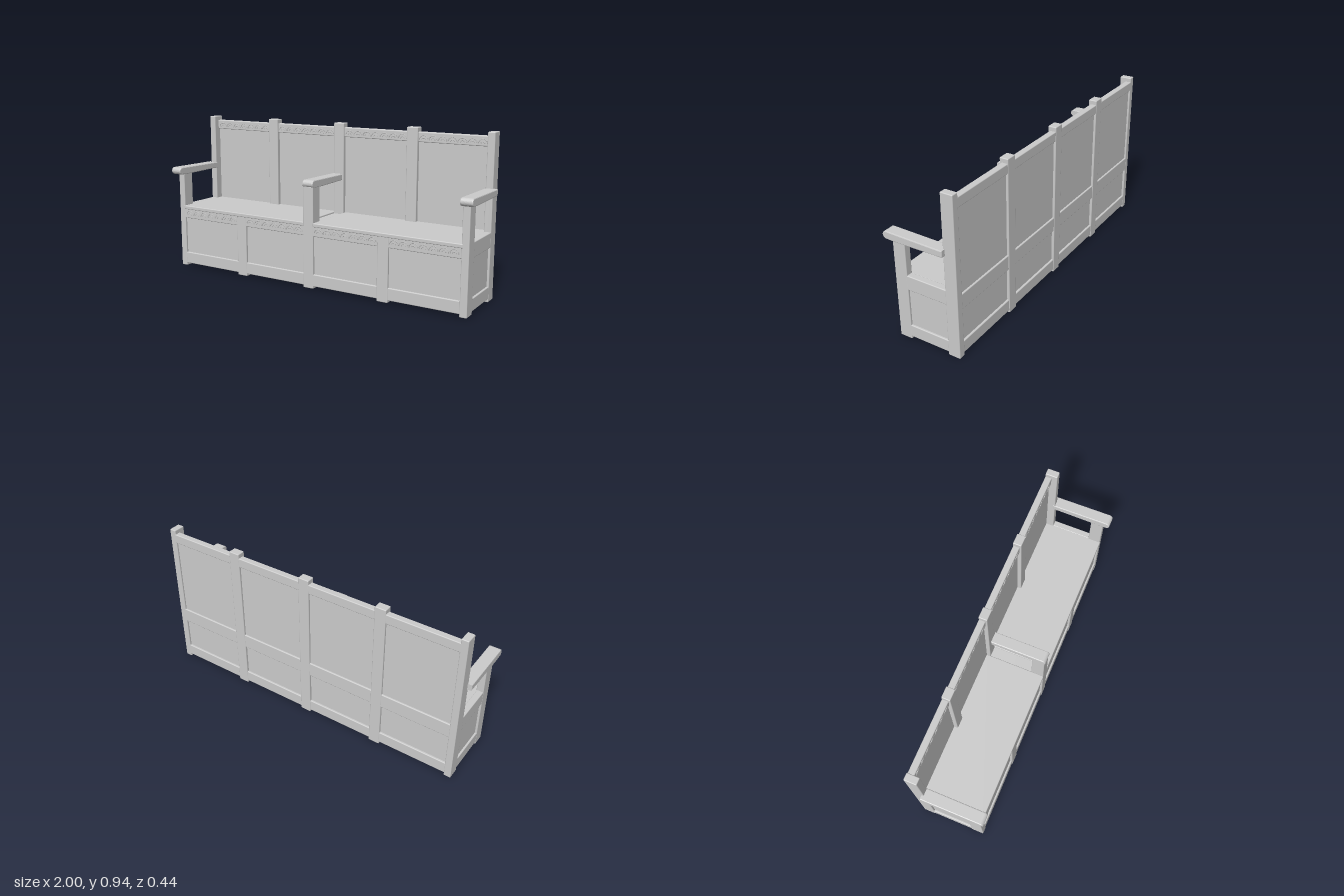
import * as THREE from 'three';
import { RoundedBoxGeometry } from 'three/addons/geometries/RoundedBoxGeometry.js';

const material = new THREE.MeshStandardMaterial({ color: 0xcccccc });

export function createModel() {
  const model = new THREE.Group();
  model.name = 'settle';
  const bench = new THREE.Group();
  bench.name = 'bench';
  bench.rotation.y = 0.008; // slightly out of square
  model.add(bench);

  const add = (name, geometry) => {
    const mesh = new THREE.Mesh(geometry, material);
    mesh.name = name;
    bench.add(mesh);
    return mesh;
  };
  // Softly rounded timber given by its extents
  const timber = (name, x0, x1, y0, y1, z0, z1, r = 0.005) => {
    const size = [x1 - x0, y1 - y0, z1 - z0];
    const radius = Math.min(r, Math.min(...size) * 0.45);
    const mesh = add(name, new RoundedBoxGeometry(...size, 2, radius));
    mesh.position.set((x0 + x1) / 2, (y0 + y1) / 2, (z0 + z1) / 2);
    return mesh;
  };
  // Armrest: side profile with a rounded nose, extruded across its width
  const armrest = (name, x0, x1, front) => {
    const back = -0.152, bottom = 0.594, top = 0.638, r = 0.022;
    const s = new THREE.Shape();
    s.moveTo(back, bottom + 0.004);
    s.lineTo(front - 0.07, bottom);
    s.lineTo(front - r, bottom + 0.002);
    s.absarc(front - r, top - r + 0.002, r, -Math.PI / 2, Math.PI / 2, false);
    s.lineTo(back, top - 0.003);
    const bevel = 0.005;
    const geometry = new THREE.ExtrudeGeometry(s, {
      depth: x1 - x0 - 2 * bevel, bevelThickness: bevel, bevelSize: bevel,
      bevelOffset: -bevel, bevelSegments: 2, curveSegments: 8,
    });
    // profile x becomes z, extrusion runs towards -x
    geometry.rotateY(-Math.PI / 2);
    add(name, geometry).position.x = x1 - bevel;
  };

  // Recessed panels: chest body and back boards
  timber('chestBody', -0.963, 0.963, 0.02, 0.385, -0.2, 0.162, 0.002);
  timber('backPanel', -0.945, 0.945, 0.37, 0.9, -0.202, -0.187, 0.002);

  // Front and back rails
  timber('frontBottomRail', -0.95, 0.95, 0.018, 0.09, 0.14, 0.173);
  timber('frontTopRail', -0.95, 0.95, 0.315, 0.388, 0.14, 0.173);
  timber('backBottomRail', -0.95, 0.95, 0.018, 0.09, -0.212, -0.18);
  timber('backMiddleRail', -0.95, 0.95, 0.285, 0.375, -0.212, -0.18);
  timber('backTopRail', -0.95, 0.95, 0.855, 0.912, -0.213, -0.175);

  // Two seat boards on either side of the middle armrest
  for (const s of [-1, 1]) {
    const [a, b] = [0.032 * s, 0.94 * s].sort((p, q) => p - q);
    timber('seat', a, b, 0.372, 0.395, -0.19, 0.178);
  }

  // Ends: tall back post, front leg, side rails and armrest
  for (const s of [-1, 1]) {
    const span = (a, b) => (s > 0 ? [a, b] : [-b, -a]);
    timber('backPost', ...span(0.933, 0.975), 0, 0.938, -0.213, -0.14);
    timber('frontLeg', ...span(0.933, 0.975), 0.002, 0.605, 0.099, 0.175);
    timber('sideTopRail', ...span(0.935, 0.974), 0.31, 0.396, -0.16, 0.12);
    timber('sideBottomRail', ...span(0.935, 0.974), 0.018, 0.09, -0.16, 0.12);
    armrest('armrest', ...span(0.93, 1.0), 0.214);
  }

  // Intermediate stiles with small feet, front and back
  for (const x of [-0.482, 0, 0.482]) {
    timber('backStile', x - 0.034, x + 0.034, 0.004, 0.938, -0.215, -0.164);
    const top = x === 0 ? 0.605 : 0.385;
    const depth = x === 0 ? 0.1 : 0.13;
    timber('frontStile', x - 0.034, x + 0.034, 0.004, top, depth, 0.176);
  }
  armrest('middleArmrest', -0.035, 0.035, 0.182);

  // Low carved arches along the front and back top rails
  const arch = new THREE.TorusGeometry(0.026, 0.0025, 4, 10, Math.PI);
  const leaf = new THREE.TorusGeometry(0.012, 0.002, 4, 8, Math.PI);
  for (const bay of [-0.722, -0.242, 0.242, 0.722]) {
    for (let i = 0; i < 7; i++) {
      const x = bay + (i - 3) * 0.058;
      for (const [y, z] of [[0.336, 0.173], [0.868, -0.175]]) {
        for (const geometry of [arch, leaf]) {
          const mesh = add('carvedArch', geometry);
          mesh.position.set(x, y, z);
        }
      }
    }
  }
  return model;
}
